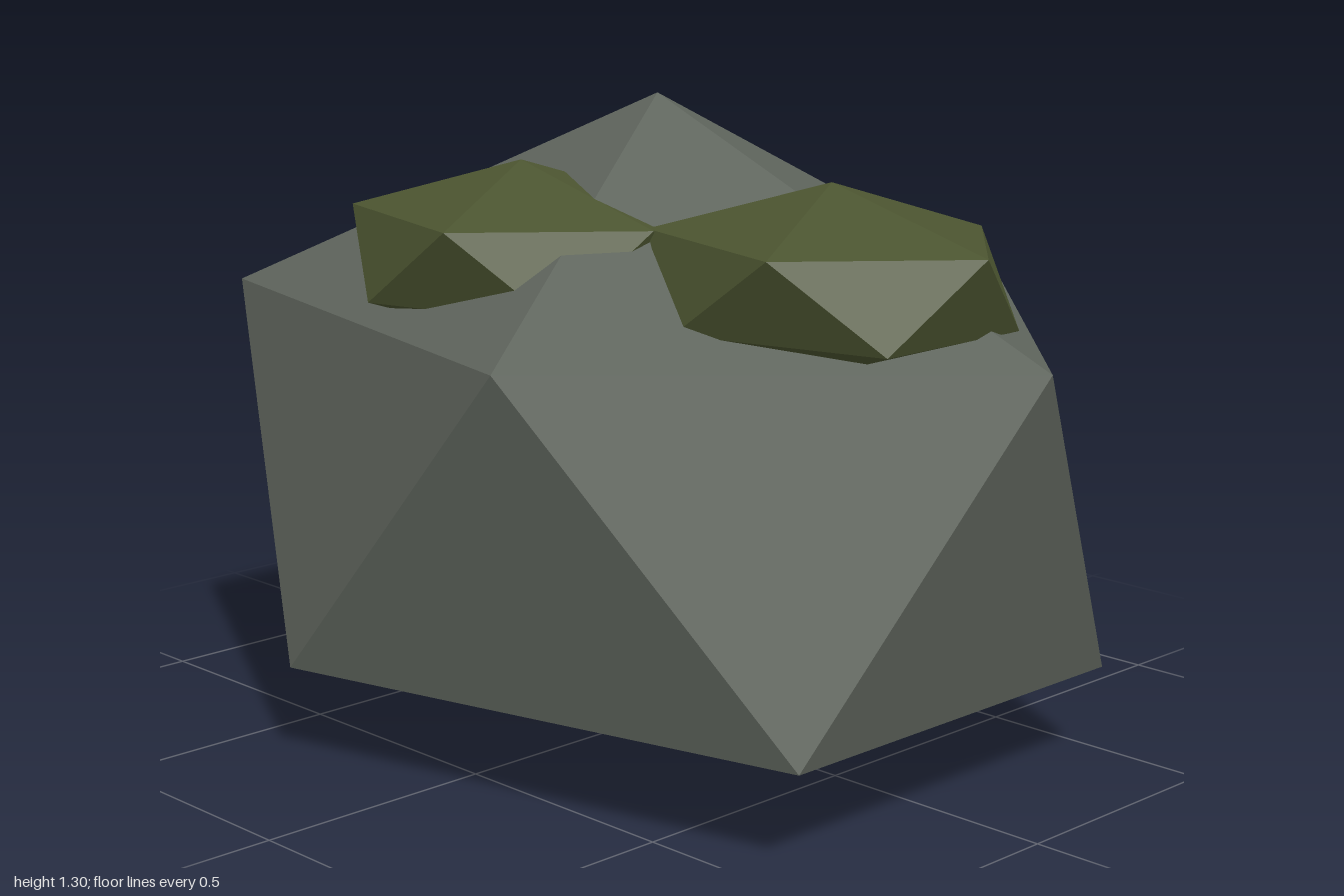
import * as THREE from 'three';

// Point-up icosahedron scaled to radii (rx, ry, rz); nothing sinks below floorY.
function pebble(rx, ry, rz, floorY = -Infinity) {
  const ringY = 1 / Math.sqrt(5), ringR = 2 / Math.sqrt(5);
  // ringR is normalised away so that rx and rz are the true ring radii
  const point = (r, y, a) => [
    (r / ringR) * rx * Math.cos(a), Math.max(y * ry, floorY), (r / ringR) * rz * Math.sin(a)];
  const step = (Math.PI * 2) / 5;
  const upper = k => point(ringR, ringY, k * step);
  const lower = k => point(ringR, -ringY, (k + 0.5) * step);
  const top = point(0, 1, 0), bottom = point(0, -1, 0);
  const positions = [];
  for (let k = 0; k < 5; k++) {
    positions.push(
      ...top, ...upper(k + 1), ...upper(k),
      ...upper(k), ...upper(k + 1), ...lower(k),
      ...lower(k), ...upper(k + 1), ...lower(k + 1),
      ...bottom, ...lower(k), ...lower(k + 1));
  }
  const geometry = new THREE.BufferGeometry();
  geometry.setAttribute('position', new THREE.Float32BufferAttribute(positions, 3));
  geometry.computeVertexNormals(); // unshared corners give flat facets
  return geometry;
}

export function createModel() {
  const stone = new THREE.MeshStandardMaterial({ color: 0x5e645c });
  stone.name = 'stone grey';
  const moss = new THREE.MeshStandardMaterial({ color: 0x4b5430 });
  moss.name = 'moss green';

  const group = new THREE.Group();
  group.name = 'mossyRock';

  // Boulder with its lowest tip flattened to the ground
  const centreY = 0.538;
  const boulder = new THREE.Mesh(pebble(1, 0.765, 0.75, -centreY), stone);
  boulder.name = 'boulder';
  boulder.position.y = centreY;
  group.add(boulder);

  // Two moss clumps half buried in the front slope
  const mossGeometry = pebble(0.37, 0.18, 0.31);
  [['mossRight', -0.083, 0.29], ['mossLeft', 0.555, 0.095]].forEach(([name, x, z]) => {
    const clump = new THREE.Mesh(mossGeometry, moss);
    clump.name = name;
    clump.position.set(x, 1.008, z);
    group.add(clump);
  });
  return group;
}
